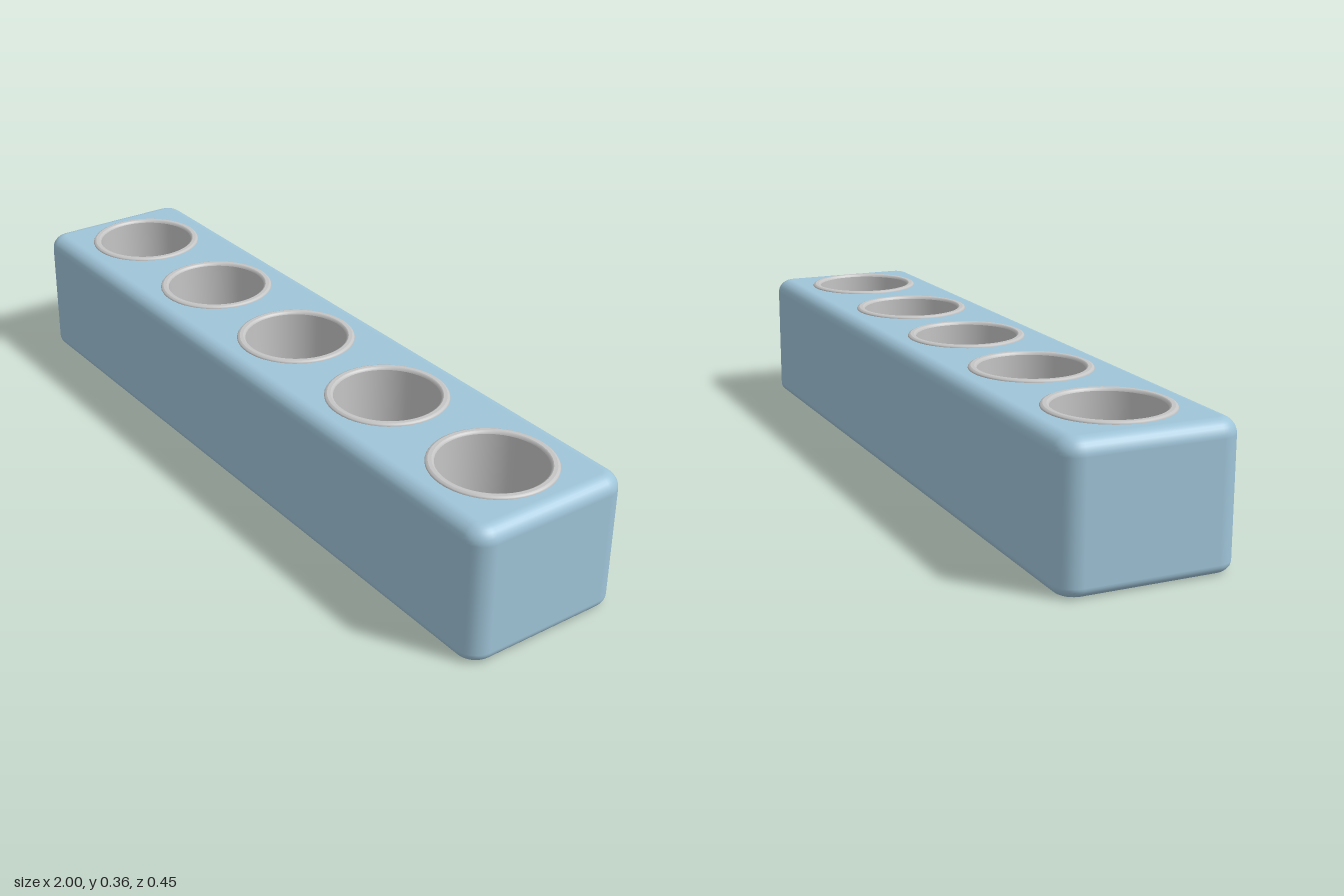
import * as THREE from 'three';

const HALF_X = 1, HALF_Z = 0.224, BOTTOM = 0, TOP = 0.357;
const CORNER = 0.055, TOP_BEVEL = 0.04, BOTTOM_BEVEL = 0.025;
const CUP_X = [-0.785, -0.3925, 0, 0.3925, 0.785];
const STEPS = 8;

// Rounded rectangle, shrunk by an inset, as points with the corner angle of each
function outline(inset) {
  const r = CORNER - inset, pts = [];
  [[1, 1], [-1, 1], [-1, -1], [1, -1]].forEach(([sx, sz], q) => {
    for (let i = 0; i <= STEPS; i++) {
      const a = (q + i / STEPS) * Math.PI / 2;
      pts.push({ a, x: sx * (HALF_X - CORNER) + r * Math.cos(a), z: sz * (HALF_Z - CORNER) + r * Math.sin(a) });
    }
  });
  return pts;
}

// Side walls with rounded upper and lower edges, built from stacked outlines
function wallGeometry() {
  const rings = [];
  for (let i = 0; i <= STEPS; i++) rings.push({ b: (i / STEPS - 1) * Math.PI / 2, r: BOTTOM_BEVEL, y: BOTTOM + BOTTOM_BEVEL });
  for (let i = 0; i <= STEPS; i++) rings.push({ b: i / STEPS * Math.PI / 2, r: TOP_BEVEL, y: TOP - TOP_BEVEL });
  const pos = [], nor = [], idx = [];
  let n = 0;
  rings.forEach(({ b, r, y }) => {
    const loop = outline(r * (1 - Math.cos(b)));
    n = loop.length;
    loop.forEach(p => {
      pos.push(p.x, y + r * Math.sin(b), p.z);
      nor.push(Math.cos(b) * Math.cos(p.a), Math.sin(b), Math.cos(b) * Math.sin(p.a));
    });
  });
  for (let k = 0; k < rings.length - 1; k++) {
    for (let i = 0; i < n; i++) {
      const a = k * n + i, c = k * n + (i + 1) % n;
      idx.push(a, a + n, c, c, a + n, c + n);
    }
  }
  const g = new THREE.BufferGeometry();
  g.setAttribute('position', new THREE.Float32BufferAttribute(pos, 3));
  g.setAttribute('normal', new THREE.Float32BufferAttribute(nor, 3));
  g.setIndex(idx);
  return g;
}

// Flat cap inside the rounded edge, optionally with the cup openings
function capGeometry(inset, holes) {
  const shape = new THREE.Shape(outline(inset).map(p => new THREE.Vector2(p.x, p.z)));
  if (holes) CUP_X.forEach(x => shape.holes.push(new THREE.Path().absarc(x, 0, 0.147, 0, Math.PI * 2, true)));
  return new THREE.ShapeGeometry(shape, 32);
}

export function createModel() {
  const model = new THREE.Group();
  model.name = 'cupHolderBlock';
  const blue = new THREE.MeshStandardMaterial({ color: 0x9fc4d8 });
  blue.name = 'paleBlue';
  const grey = new THREE.MeshStandardMaterial({ color: 0xc4c4c4 });
  grey.name = 'lightGrey';

  const add = (name, geometry, material) => {
    const mesh = new THREE.Mesh(geometry, material);
    mesh.name = name;
    model.add(mesh);
    return mesh;
  };

  // Block
  add('blockSides', wallGeometry(), blue);
  add('blockTop', capGeometry(TOP_BEVEL, true).rotateX(-Math.PI / 2).translate(0, TOP, 0), blue);
  add('blockBottom', capGeometry(BOTTOM_BEVEL, false).rotateX(Math.PI / 2).translate(0, BOTTOM, 0), blue);

  // Cups: raised lip, inner wall and floor; repeated points keep edges sharp
  const profile = [
    [0.156, 0.354], [0.156, 0.358], [0.154, 0.361], [0.149, 0.363], [0.149, 0.363],
    [0.14, 0.363], [0.14, 0.363], [0.136, 0.361], [0.134, 0.356], [0.134, 0.356],
    [0.131, 0.05], [0.131, 0.05], [0, 0.05],
  ].map(([x, y]) => new THREE.Vector2(x, y));
  const cup = new THREE.LatheGeometry(profile, 48);
  CUP_X.forEach((x, i) => { add('cup' + (i + 1), cup, grey).position.x = x; });

  return model;
}
